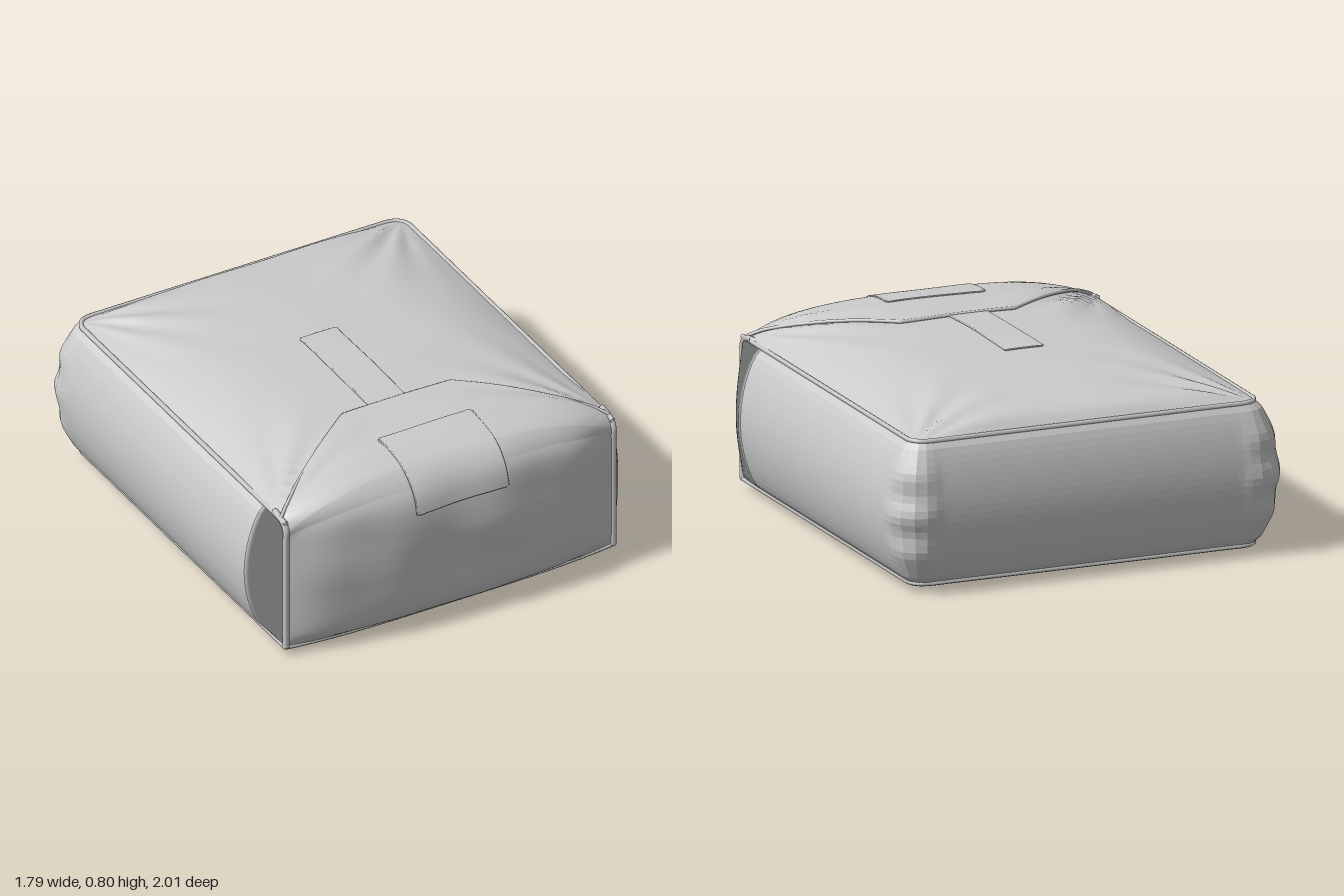
import * as THREE from 'three';
import { ParametricGeometry } from 'three/addons/geometries/ParametricGeometry.js';

const W = 0.79, FRONT = 0.86, BACK = -0.92, R = 0.07, SEAM_TOP = 0.665, SEAM_LOW = 0.045;

const mat = new THREE.MeshStandardMaterial({ color: 0xcccccc, side: THREE.DoubleSide });
const curve = pts => new THREE.CatmullRomCurve3(pts.map(([z, y]) => new THREE.Vector3(0, y, z)));

// Profiles (z, y) from the front hem, over the top, to the back seam
const middle = curve([[0.86, 0.02], [0.95, 0.09], [0.98, 0.3], [0.985, 0.48], [0.95, 0.67], [0.88, 0.745],
  [0.78, 0.775], [0.4, 0.78], [0, 0.785], [-0.4, 0.77], [-0.7, 0.745], [-0.86, 0.715], [BACK, SEAM_TOP]]);
const edge = curve([[FRONT, SEAM_LOW], [FRONT, 0.1], [FRONT, 0.32], [FRONT, 0.48], [FRONT, 0.58], [FRONT, 0.63],
  [0.83, SEAM_TOP], [0.4, SEAM_TOP], [0, SEAM_TOP], [-0.4, SEAM_TOP], [-0.7, SEAM_TOP], [-0.86, SEAM_TOP], [BACK, SEAM_TOP]]);

// Half width in plan, with rounded back corners
function halfWidth(z) {
  const d = Math.max(0, BACK + R - z);
  return W - R + Math.sqrt(Math.max(0, R * R - d * d));
}

// Creases radiating from the four top corners
function creases(x, z) {
  let h = 0;
  for (const sx of [-1, 1]) for (const cz of [BACK, 0.8]) {
    const dx = Math.abs(x - sx * W), dz = Math.abs(z - cz), r = Math.hypot(dx, dz);
    const a = Math.atan2(dz, dx);
    h += Math.sin(a * 15 + sx * 1.3 + cz * 2) * Math.sin(a * 2) * Math.min(r * 4, 1) * Math.exp(-r * r * 3.5);
  }
  return 0.011 * h + 0.003 * Math.sin(x * 9 + z * 6) * Math.sin(z * 8 - x * 3);
}

// Point on the soft front-and-top panel: s across (-1..1), t along the profile (0..1)
function panelPoint(s, t, target = new THREE.Vector3()) {
  const m = middle.getPoint(t), e = edge.getPoint(t);
  const f = 1 - Math.pow(Math.abs(s), 3.6);
  target.lerpVectors(e, m, f);
  target.x = s * halfWidth(e.z);
  const soft = 1 - Math.pow(Math.abs(s), 8);
  const top = THREE.MathUtils.smoothstep(t, 0.4, 0.55) * (1 - THREE.MathUtils.smoothstep(t, 0.93, 1));
  const front = Math.sin(Math.PI * Math.min(1, t / 0.5));
  target.y += soft * top * creases(target.x, target.z);
  target.z += soft * front * 0.008 * Math.sin(target.x * 11 + target.y * 7) * Math.cos(target.y * 9 - target.x * 4);
  return target;
}

// Same panel, lifted along its normal
function lifted(s, t, h) {
  const e = 0.004;
  const p = panelPoint(s, t);
  const du = panelPoint(Math.min(1, s + e), t).sub(panelPoint(Math.max(-1, s - e), t));
  const dv = panelPoint(s, Math.min(1, t + e)).sub(panelPoint(s, Math.max(0, t - e)));
  return p.addScaledVector(du.cross(dv).normalize(), h);
}

// Profile parameter where the panel reaches depth z on top, or height y on the front
function solve(lo, hi, below) {
  for (let i = 0; i < 20; i++) {
    const mid = (lo + hi) / 2;
    if (below(mid)) lo = mid; else hi = mid;
  }
  return lo;
}
const tAtZ = (s, z) => solve(0.4, 1, t => panelPoint(s, t).z > z);
const tAtY = (s, y) => solve(0, 0.5, t => panelPoint(s, t).y < y);

export function createModel() {
  const group = new THREE.Group();
  const add = (name, geometry) => {
    const mesh = new THREE.Mesh(geometry, mat);
    mesh.name = name;
    group.add(mesh);
  };
  const sheet = (name, nu, nv, fn) => add(name, new ParametricGeometry(fn, nu, nv));
  const piping = (name, pts, r = 0.011, closed = false) =>
    add(name, new THREE.TubeGeometry(new THREE.CatmullRomCurve3(pts, closed), pts.length * 2, r, 6, closed));
  const row = (n, fn) => Array.from({ length: n + 1 }, (_, i) => fn(i / n));

  // Front and top cover
  sheet('frontAndTopPanel', 90, 120, (u, v, p) => panelPoint(u * 2 - 1, v, p));

  // Side and back wall, one bulging strip around three sides
  const plan = new THREE.Path();
  plan.moveTo(W, FRONT);
  plan.lineTo(W, BACK + R);
  plan.absarc(W - R, BACK + R, R, 0, -Math.PI / 2, true);
  plan.lineTo(-W + R, BACK);
  plan.absarc(-W + R, BACK + R, R, -Math.PI / 2, -Math.PI, true);
  plan.lineTo(-W, FRONT);
  const N = 200, pts = plan.getSpacedPoints(N);
  sheet('sideAndBackWall', N, 20, (u, v, p) => {
    const i = Math.round(u * N), a = pts[Math.max(0, i - 2)], b = pts[Math.min(N, i + 2)];
    const len = a.distanceTo(b), nx = -(b.y - a.y) / len, nz = (b.x - a.x) / len;
    const c = pts[i], ends = Math.min(1, Math.sqrt(Math.min(u, 1 - u) / 0.035));
    const bulge = (Math.abs(nx) * 0.1 + Math.abs(nz) * 0.08) * Math.pow(Math.sin(Math.PI * v), 0.65) * ends;
    const corner = Math.abs(nx * nz) * 0.05 * Math.sin(Math.PI * v) * (1 + 0.4 * Math.sin(v * 22));
    const d = bulge - corner;
    p.set(c.x + nx * d, THREE.MathUtils.lerp(SEAM_LOW, SEAM_TOP, v), c.y + nz * d);
  });

  // Gently sagging base
  sheet('base', 40, 40, (u, v, p) => {
    const s = u * 2 - 1, z = THREE.MathUtils.lerp(BACK, FRONT, v), q = v * 2 - 1;
    const sag = (1 - Math.pow(Math.abs(s), 4)) * (1 - Math.pow(Math.abs(q), 8));
    const x = s * halfWidth(z);
    const frontHem = 0.025 * (1 - Math.pow(Math.abs(s), 3.6)) * THREE.MathUtils.smoothstep(v, 0.9, 1);
    p.set(x, SEAM_LOW - frontHem - sag * (0.032 + 0.006 * Math.sin(x * 7 + z * 5)) * (1 - frontHem * 30), z);
  });

  // Flap overlapping the top, narrowing towards its straight end
  const flapZ = s => {
    const x = Math.abs(s) * W;
    return x < 0.26 ? 0.415 : THREE.MathUtils.mapLinear(x, 0.26, W, 0.415, 0.82);
  };
  const flapEnds = row(96, u => tAtZ(u * 2 - 1, flapZ(u * 2 - 1)));
  sheet('flap', 96, 30, (u, v, p) => {
    const s = u * 2 - 1;
    const t = THREE.MathUtils.lerp(0.36, flapEnds[Math.round(u * 96)], v);
    p.copy(lifted(s, t, 0.001 + 0.013 * Math.min(1, v * 3) * (1 - s ** 10)));
  });
  piping('flapHem', row(96, u => lifted(u * 2 - 1, flapEnds[Math.round(u * 96)], 0.007)), 0.008);

  // Rectangular patch folded over the front edge, and the strap on top
  const patch = (name, x0, x1, start, end, h) => {
    const at = (u, v, k) => {
      const s = THREE.MathUtils.lerp(x0, x1, u) / W;
      return lifted(s, THREE.MathUtils.lerp(start(s), end(s), v), k);
    };
    sheet(name, 20, 24, (u, v, p) => p.copy(at(u, v, h)));
    const rim = [...row(12, k => at(k, 0, h - 0.003)), ...row(16, k => at(1, k, h - 0.003)).slice(1),
      ...row(12, k => at(1 - k, 1, h - 0.003)).slice(1), ...row(16, k => at(0, 1 - k, h - 0.003)).slice(1, -1)];
    piping(name + 'Rim', rim, 0.004, true);
  };
  patch('frontPatch', -0.23, 0.21, s => tAtY(s, 0.6), s => tAtZ(s, 0.665), 0.019);
  patch('topStrap', -0.13, 0.04, s => tAtZ(s, 0.43), s => tAtZ(s, -0.17), 0.008);

  // Piping along the seams
  const loop = y => pts.filter((_, i) => i % 2 === 0).map(c => new THREE.Vector3(c.x, y, c.y));
  piping('topPiping', loop(SEAM_TOP));
  piping('bottomPiping', loop(SEAM_LOW));
  piping('frontHemPiping', row(30, u => panelPoint(u * 2 - 1, 0)), 0.009);
  for (const s of [-1, 1])
    piping(s > 0 ? 'leftCornerPiping' : 'rightCornerPiping', row(20, v => panelPoint(s, v * 0.52)), 0.014);

  // Stand on the ground, centred
  const box = new THREE.Box3().setFromObject(group);
  const c = box.getCenter(new THREE.Vector3());
  group.children.forEach(m => m.geometry.translate(-c.x, -box.min.y, -c.z));
  return group;
}
